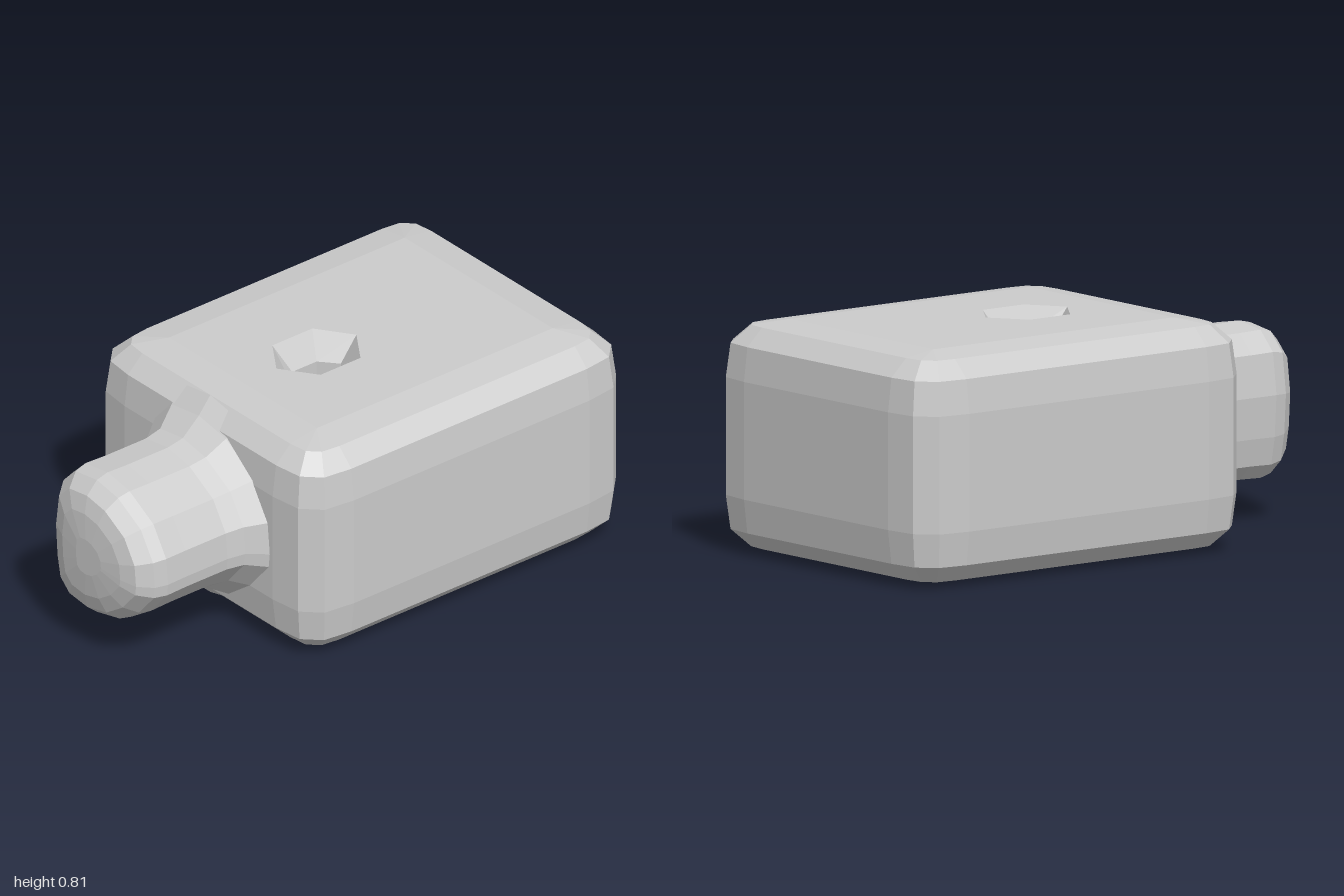
import * as THREE from 'three';

const material = new THREE.MeshStandardMaterial({ color: 0xcccccc, flatShading: true });

// Skin between rings of equal point count; points run counter-clockwise seen from the far end.
function loft(rings) {
  const n = rings[0].length, index = [];
  for (let i = 0; i < rings.length - 1; i++) {
    for (let j = 0; j < n; j++) {
      const k = (j + 1) % n, a = i * n + j, b = i * n + k, c = b + n, d = a + n;
      index.push(a, b, c, a, c, d);
    }
  }
  const g = new THREE.BufferGeometry();
  g.setAttribute('position', new THREE.Float32BufferAttribute(rings.flat(2), 3));
  g.setIndex(index);
  g.computeVertexNormals();
  return g;
}

function add(group, name, geometry) {
  const mesh = new THREE.Mesh(geometry, material);
  mesh.name = name;
  group.add(mesh);
  return mesh;
}

const HX = 0.6, HZ = 0.73, CZ = -0.27, TOP = 0.813, SOFT = 0.2;
const HOLE_Z = -0.07;

// Horizontal ring of the block, with softened corners that sharpen as the inset grows.
function blockRing(y, inset) {
  const corner = [[0, 0.2], [0.015, 0.08], [0.08, 0.015], [0.2, 0]];
  const keep = 1 - inset / SOFT, ring = [];
  for (const [sx, sz] of [[1, -1], [-1, -1], [-1, 1], [1, 1]]) {
    const pts = sx * sz < 0 ? corner : [...corner].reverse();
    for (const [dx, dz] of pts) {
      ring.push([sx * (HX - inset - dx * keep), y, CZ + sz * (HZ - inset - dz * keep)]);
    }
  }
  return ring;
}

// Six-sided ring of the through hole.
function holeRing(y, rx, rz) {
  const hex = [[0, -1], [-1, -0.5], [-1, 0.5], [0, 1], [1, 0.5], [1, -0.5]];
  return hex.map(([x, z]) => [x * rx, y, HOLE_Z + z * rz]);
}

// Flat face of the block with the hole opening; side is 1 for top, -1 for bottom.
function cap(side) {
  const x = HX - SOFT, z = HZ - SOFT;
  const shape = new THREE.Shape([[-x, -z], [x, -z], [x, z], [-x, z]]
    .map(([px, pz]) => new THREE.Vector2(px, -side * (pz + CZ))));
  shape.holes.push(new THREE.Path(holeRing(0, 0.13, 0.18)
    .map(([px, , pz]) => new THREE.Vector2(px, -side * pz))));
  return new THREE.ShapeGeometry(shape).rotateX(-side * Math.PI / 2);
}

export function createModel() {
  const model = new THREE.Group();
  model.name = 'peggedBlock';

  // Block with rounded edges
  const block = new THREE.Group();
  block.name = 'block';
  model.add(block);
  const edge = [[0, 0.2], [0.018, 0.08], [0.08, 0.015], [0.2, 0]];
  const levels = [...edge, ...[...edge].reverse().map(([y, i]) => [TOP - y, i])];
  add(block, 'blockSides', loft(levels.map(([y, i]) => blockRing(y, i))));
  add(block, 'blockTop', cap(1)).position.y = TOP;
  add(block, 'blockBottom', cap(-1));

  // Through hole, flared at both ends
  add(block, 'holeWall', loft([
    holeRing(TOP, 0.13, 0.18), holeRing(TOP - 0.09, 0.065, 0.11),
    holeRing(0.09, 0.065, 0.11), holeRing(0, 0.13, 0.18),
  ]));

  // Peg: lopsided outline swept forward, flared at its root and domed at its tip
  const cx = 0.05, cy = 0.41;
  const outline = [
    [0.33, 0.38], [0.32, 0.48], [0.25, 0.59], [0.12, 0.665], [0, 0.687], [-0.12, 0.67],
    [-0.19, 0.6], [-0.21, 0.45], [-0.2, 0.3], [-0.18, 0.2], [-0.12, 0.145], [0, 0.13],
    [0.13, 0.16], [0.24, 0.235], [0.325, 0.335],
  ];
  const profile = [
    [0.39, 1.42], [0.45, 1.22], [0.53, 1.02], [0.6, 0.98], [0.78, 0.98], [0.87, 0.99],
    [0.92, 0.95], [0.97, 0.8], [0.99, 0.58], [1, 0.25], [1, 0],
  ];
  add(model, 'peg', loft(profile.map(([z, s]) =>
    outline.map(([x, y]) => [cx + (x - cx) * s, cy + (y - cy) * s, z]))));

  return model;
}
